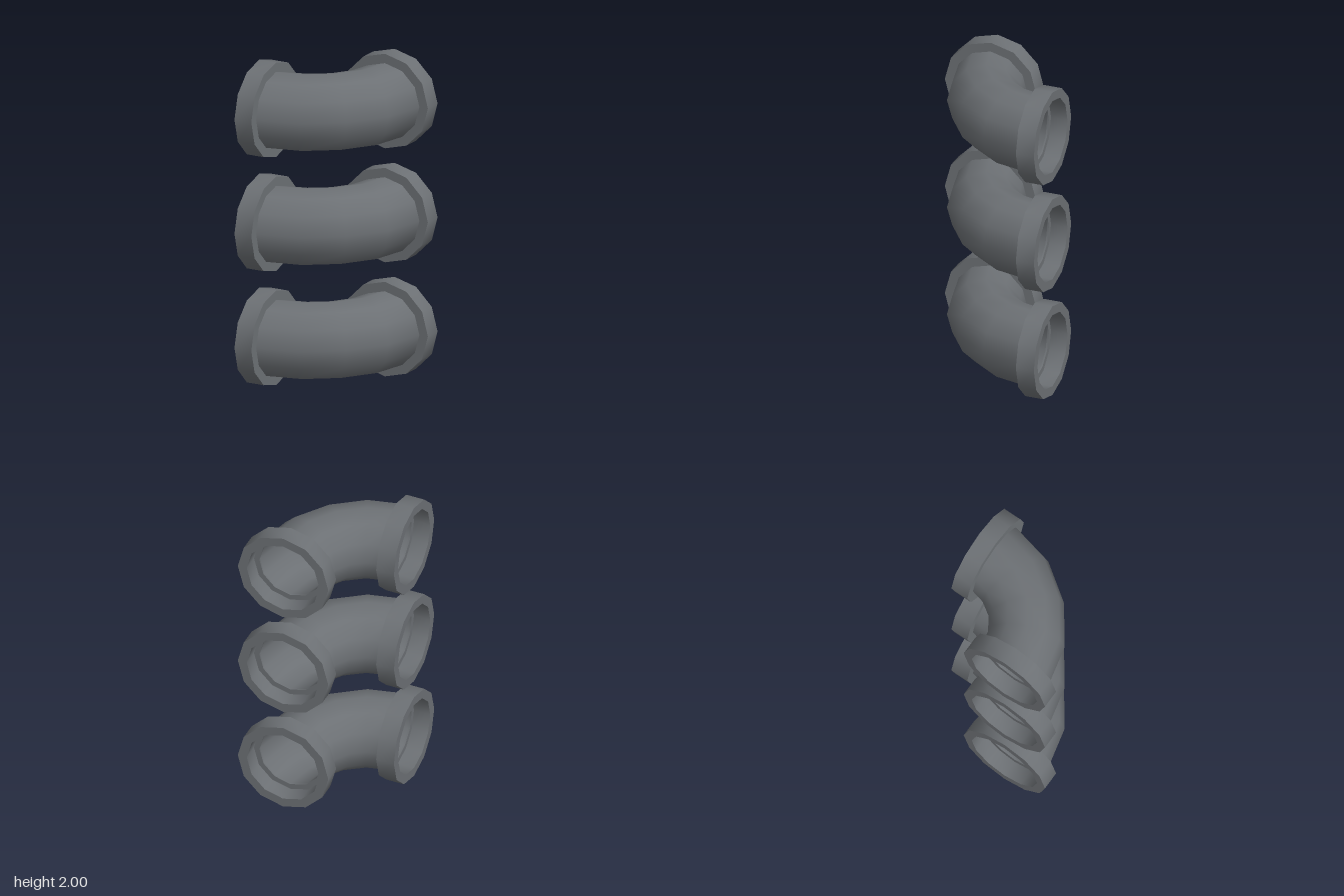
import * as THREE from 'three';
import { toCreasedNormals } from 'three/addons/utils/BufferGeometryUtils.js';

const SIDES = 12;
const PITCH = 0.705; // vertical spacing of the stacked elbows
const COLLAR_R = 0.293, PIPE_R = 0.235, BORE_R = 0.2, COLLAR_L = 0.115;
const OFFSET = 0.147, BASE = -0.325; // pipe axis offset, collar base plane

// Bend rings: [x, z, sweep angle in degrees, radius in the bend plane]
const RINGS = [
  [OFFSET, BASE, 0, 0.235],
  [0.106, -0.153, 22.2, 0.232],
  [-0.001, -0.001, 45, 0.227],
  [-0.153, 0.106, 67.8, 0.232],
  [BASE, OFFSET, 90, 0.235],
];

// Quarter bend swept through the rings; the bore faces inwards
function bendGeometry(wall, inward) {
  const pos = [], index = [];
  for (const [x, z, deg, r] of RINGS) {
    const t = THREE.MathUtils.degToRad(deg);
    for (let j = 0; j < SIDES; j++) {
      const p = (j / SIDES) * Math.PI * 2;
      const out = (r - wall) * Math.cos(p);
      pos.push(x + out * Math.cos(t), (PIPE_R - wall) * Math.sin(p), z + out * Math.sin(t));
    }
  }
  for (let i = 0; i < RINGS.length - 1; i++) {
    for (let j = 0; j < SIDES; j++) {
      const k = (j + 1) % SIDES;
      const a = i * SIDES + j, b = i * SIDES + k, c = a + SIDES, d = b + SIDES;
      if (inward) index.push(a, c, b, b, c, d);
      else index.push(a, b, c, b, d, c);
    }
  }
  const g = new THREE.BufferGeometry();
  g.setAttribute('position', new THREE.Float32BufferAttribute(pos, 3));
  g.setIndex(index);
  g.computeVertexNormals();
  return g;
}

// Socket collar with a stepped ledge down to the bore
function collarGeometry() {
  const profile = [
    [BORE_R, 0], [COLLAR_R, 0], [COLLAR_R, COLLAR_L], [PIPE_R, COLLAR_L],
    [PIPE_R, 0.01], [BORE_R, 0.01], [BORE_R, 0],
  ].map(([r, y]) => new THREE.Vector2(r, y));
  return toCreasedNormals(new THREE.LatheGeometry(profile, SIDES), 0.8);
}

export function createModel() {
  const grey = new THREE.MeshStandardMaterial({ color: 0x6c7074 });
  grey.name = 'pipe grey';

  const outer = bendGeometry(0, false);
  const bore = bendGeometry(PIPE_R - BORE_R, true);
  const collar = collarGeometry();

  const model = new THREE.Group();
  model.name = 'pipeElbows';
  for (let i = 0; i < 3; i++) {
    const elbow = new THREE.Group();
    elbow.name = 'elbow' + (i + 1);
    elbow.position.y = 1 + (i - 1) * PITCH + (i - 1) * 0.002;
    const add = (geometry, name) => {
      const mesh = new THREE.Mesh(geometry, grey);
      mesh.name = name;
      elbow.add(mesh);
      return mesh;
    };
    add(outer, 'bend');
    add(bore, 'bore');

    // One collar opens to the back, the other to the model's right
    const back = add(collar, 'backCollar');
    back.position.set(OFFSET, 0, BASE);
    back.rotation.x = -Math.PI / 2;
    const side = add(collar, 'sideCollar');
    side.position.set(BASE, 0, OFFSET);
    side.rotation.z = Math.PI / 2;
    model.add(elbow);
  }
  return model;
}
